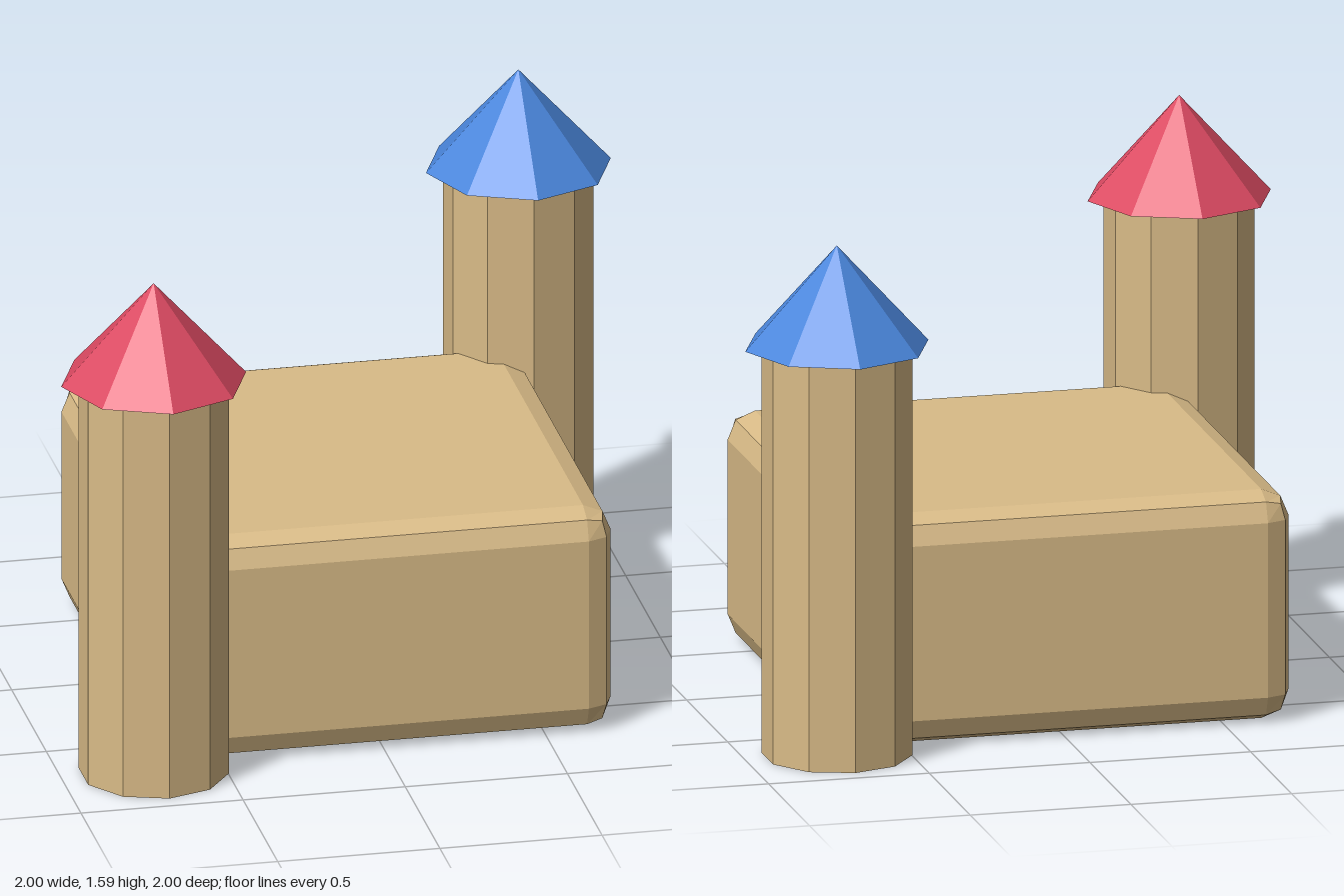
import * as THREE from 'three';
import { RoundedBoxGeometry } from 'three/addons/geometries/RoundedBoxGeometry.js';

function material(name, color) {
  const m = new THREE.MeshStandardMaterial({ color, flatShading: true });
  m.name = name;
  return m;
}

function part(name, geometry, mat, y) {
  const mesh = new THREE.Mesh(geometry, mat);
  mesh.name = name;
  mesh.position.y = y;
  return mesh;
}

export function createModel() {
  const sandstone = material('sandstone', 0xd9bb87);
  const red = material('red roof', 0xdc4a62);
  const blue = material('blue roof', 0x4a86dc);

  const keepHeight = 0.715, keepWidth = 1.425;
  const towerHeight = 1.275, roofHeight = 0.313, corner = 0.715;

  const model = new THREE.Group();
  model.name = 'castle';

  // Main block with softened edges
  model.add(part('keep', new RoundedBoxGeometry(keepWidth, keepHeight, keepWidth, 1, 0.085),
    sandstone, keepHeight / 2));

  // Ten-sided tower with an eight-sided pointed roof
  const shaft = new THREE.CylinderGeometry(0.228, 0.228, towerHeight, 10);
  const cone = new THREE.ConeGeometry(0.285, roofHeight, 8);
  const addTower = (name, x, z, roofMaterial) => {
    const tower = new THREE.Group();
    tower.name = name;
    tower.position.set(x, 0, z);
    tower.add(part('towerShaft', shaft, sandstone, towerHeight / 2));
    tower.add(part('towerRoof', cone, roofMaterial, towerHeight + roofHeight / 2));
    model.add(tower);
  };

  // Towers on opposite corners
  addTower('frontRightTower', -corner, corner, red);
  addTower('backLeftTower', corner, -corner, blue);

  return model;
}
